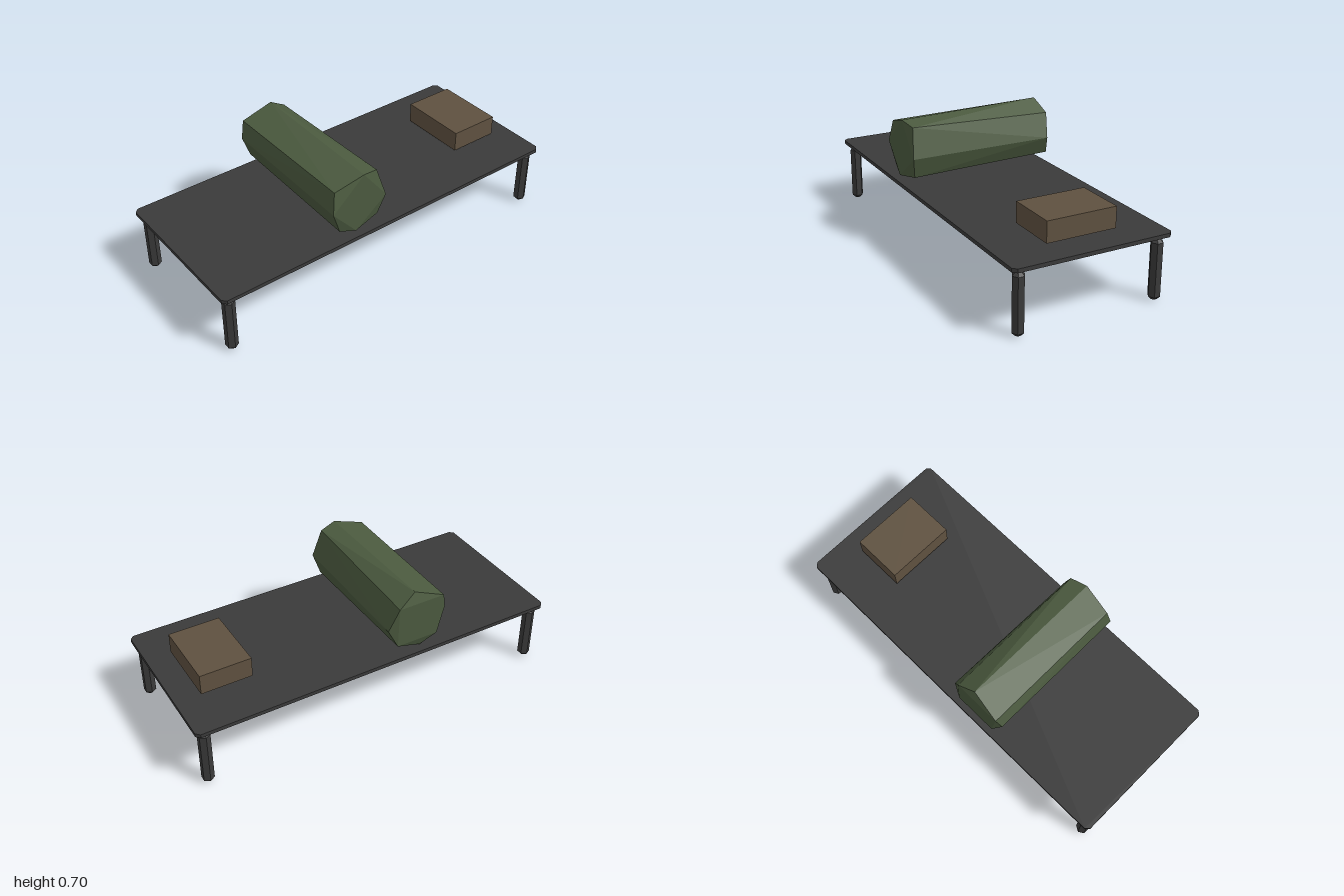
import * as THREE from 'three';
import { ConvexGeometry } from 'three/addons/geometries/ConvexGeometry.js';

export function createModel() {
  const group = new THREE.Group();
  const paint = (name, color) => {
    const m = new THREE.MeshStandardMaterial({ color, flatShading: true });
    m.name = name;
    return m;
  };
  const darkGrey = paint('dark grey', 0x3a3a3a);
  const olive = paint('olive green', 0x4b5a3f);
  const brown = paint('brown', 0x5f5140);
  const add = (name, geometry, material, x = 0, y = 0, z = 0) => {
    const mesh = new THREE.Mesh(geometry, material);
    mesh.name = name;
    mesh.position.set(x, y, z);
    group.add(mesh);
  };

  // Thin cot top with clipped corners
  const w = 0.42, l = 1, c = 0.02;
  const outline = new THREE.Shape([
    [w - c, -l], [w, c - l], [w, l - c], [w - c, l],
    [c - w, l], [-w, l - c], [-w, c - l], [c - w, -l],
  ].map(([x, y]) => new THREE.Vector2(x, y)));
  const top = new THREE.ExtrudeGeometry(outline, { depth: 0.02, bevelEnabled: false });
  top.rotateX(-Math.PI / 2);
  add('cotTop', top, darkGrey, 0, 0.33, 0);

  // Four six-sided legs with chamfered ends
  const profile = [[0, 0], [0.015, 0.003], [0.032, 0.02], [0.032, 0.295], [0.013, 0.313], [0, 0.315]]
    .map(([x, y]) => new THREE.Vector2(x, y));
  const leg = new THREE.LatheGeometry(profile, 6, Math.PI / 2);
  for (const x of [-1, 1]) {
    for (const z of [-1, 1]) {
      add((z > 0 ? 'front' : 'back') + (x > 0 ? 'Left' : 'Right') + 'Leg',
        leg, darkGrey, x * 0.368, 0, z * 0.948);
    }
  }

  // Irregular eight-sided bedroll: four corners (z, y) at each x
  const rings = [
    [-0.38, [[0.375, 0.547], [0.19, 0.697], [0.045, 0.51], [0.235, 0.36]]],
    [-0.4, [[0.35, 0.635], [0.095, 0.635], [0.09, 0.415], [0.32, 0.415]]],
    [0.397, [[0.37, 0.525], [0.19, 0.683], [0.055, 0.51], [0.235, 0.372]]],
    [0.378, [[0.35, 0.637], [0.1, 0.663], [0.09, 0.4], [0.32, 0.393]]],
  ];
  const corners = rings.flatMap(([x, ring]) => ring.map(([z, y]) => new THREE.Vector3(x, y, z)));
  add('bedroll', new ConvexGeometry(corners), olive);

  // Box resting at the head end
  add('box', new THREE.BoxGeometry(0.37, 0.108, 0.27), brown, -0.003, 0.424, -0.737);

  return group;
}
